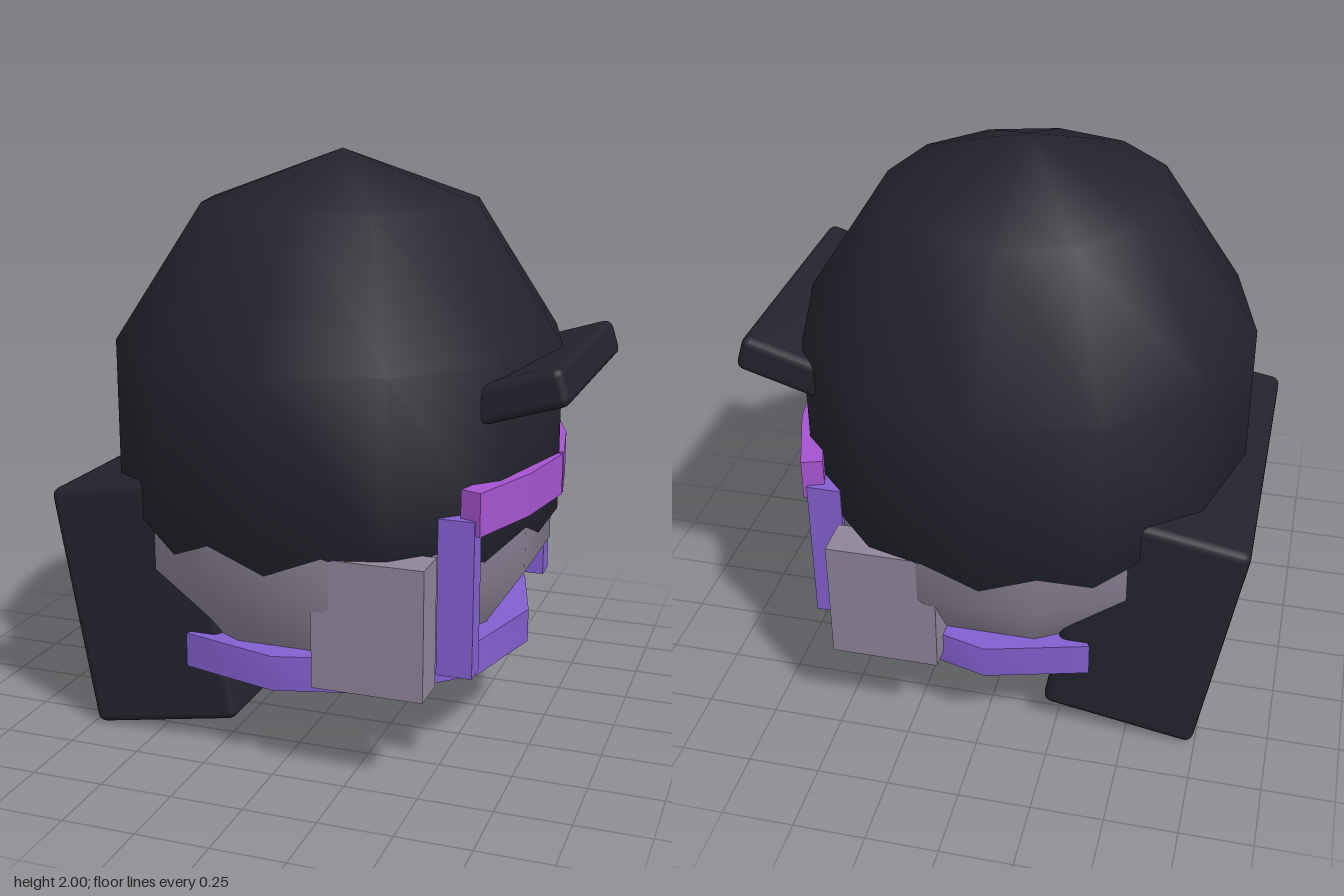
import * as THREE from 'three';
import { toCreasedNormals } from 'three/addons/utils/BufferGeometryUtils.js';
import { RoundedBoxGeometry } from 'three/addons/geometries/RoundedBoxGeometry.js';

export function createModel() {
  const model = new THREE.Group();
  model.name = 'helmetedHead';

  const material = (name, color) => {
    const m = new THREE.MeshStandardMaterial({ color });
    m.name = name;
    return m;
  };
  const dark = material('nearBlack', 0x23232e);
  const grey = material('mauveGrey', 0x8f8599);
  const violet = material('violet', 0x845fd0);
  const magenta = material('magenta', 0xa654d0);

  const add = (name, geometry, mat, x = 0, y = 0, z = 0) => {
    const mesh = new THREE.Mesh(geometry, mat);
    mesh.name = name;
    mesh.position.set(x, y, z);
    model.add(mesh);
    return mesh;
  };

  // Extrudes an outline given as [x, z] points upward from y = 0
  const slab = (points, height) => {
    const shape = new THREE.Shape(points.map(([x, z]) => new THREE.Vector2(x, -z)));
    const geometry = new THREE.ExtrudeGeometry(shape, { depth: height, bevelEnabled: false });
    return geometry.rotateX(-Math.PI / 2);
  };

  // Helmet shell and the lower head showing beneath it
  add('helmetShell', new THREE.SphereGeometry(1, 12, 5), dark, -0.02, 1.073, 0)
    .scale.set(0.83, 0.927, 0.857);
  const head = add('lowerHead', new THREE.SphereGeometry(1, 12, 5).rotateY(Math.PI / 12), grey, -0.02, 0.87, 0);
  head.scale.set(0.79, 0.84, 0.82);

  // Tilted block at the back and brim at the front
  add('backBlock', new RoundedBoxGeometry(0.545, 0.865, 1.18, 2, 0.03), dark, -0.545, 0.473, 0)
    .rotation.z = THREE.MathUtils.degToRad(10);
  add('brim', new RoundedBoxGeometry(0.45, 0.13, 0.93, 2, 0.03), dark, 0.66, 1.254, 0)
    .rotation.z = THREE.MathUtils.degToRad(17);

  // Jaw band: open 240 degree ring
  const arc = (radius) => Array.from({ length: 9 }, (_, i) => {
    const a = THREE.MathUtils.degToRad(-120 + i * 30);
    return [radius * Math.cos(a), radius * Math.sin(a)];
  });
  const band = slab([...arc(0.7), ...arc(0.57).reverse()], 0.12);
  add('jawBand', toCreasedNormals(band, Math.PI / 4), violet, -0.02, 0.28, 0);

  // Mirrored guard parts
  for (const [side, s] of [['left', -1], ['right', 1]]) {
    add(side + 'EarPad', new THREE.BoxGeometry(0.375, 0.44, 0.14), grey, 0.3225, 0.55, s * 0.67);
    add(side + 'GuardPost', new THREE.BoxGeometry(0.12, 0.53, 0.085), violet, 0.565, 0.625, s * 0.533);
    const outline = [[0.785, 0.008], [0.735, 0.295], [0.64, 0.57], [0.57, 0.545], [0.66, 0.28], [0.71, 0.008]];
    add(side + 'GuardBar', slab(outline.map(([x, z]) => [x, s * z]), 0.145), magenta, 0, 0.84, 0);
  }
  return model;
}
